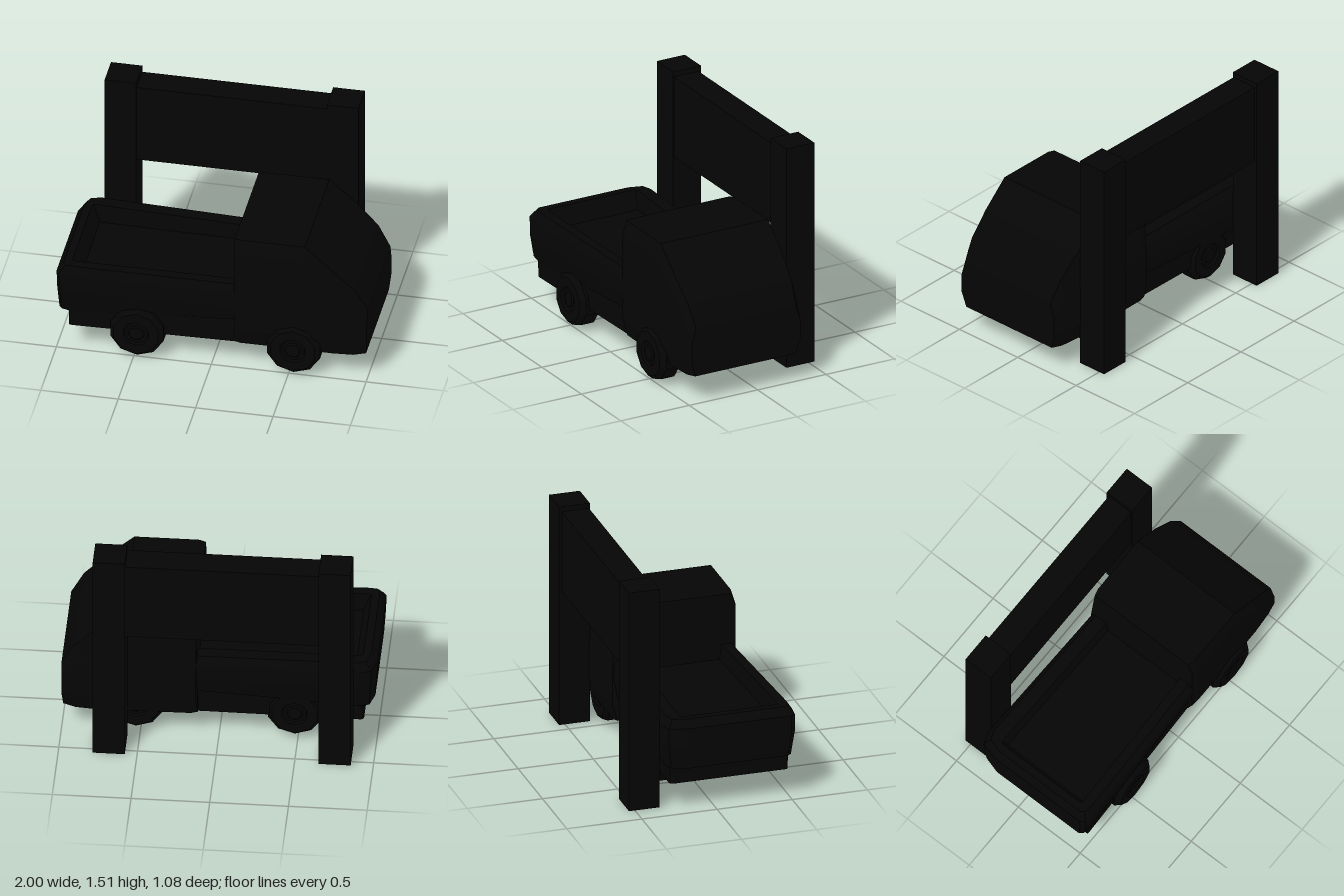
import * as THREE from 'three';

const material = new THREE.MeshStandardMaterial({ color: 0x050505, flatShading: true });

function add(group, name, geometry, x = 0, y = 0, z = 0) {
  const mesh = new THREE.Mesh(geometry, material);
  mesh.name = name;
  mesh.position.set(x, y, z);
  group.add(mesh);
  return mesh;
}

// Skins a list of equal-length rings and closes both ends
function loft(rings) {
  const n = rings[0].length;
  const index = [];
  const last = (rings.length - 1) * n;
  for (let r = 0; r < rings.length - 1; r++) {
    for (let i = 0; i < n; i++) {
      const a = r * n + i, b = r * n + (i + 1) % n;
      index.push(a, b, b + n, a, b + n, a + n);
    }
  }
  for (let i = 1; i < n - 1; i++) {
    index.push(0, i + 1, i, last, last + i, last + i + 1);
  }
  const g = new THREE.BufferGeometry();
  g.setAttribute('position', new THREE.Float32BufferAttribute(rings.flat(2), 3));
  g.setIndex(index);
  const flat = g.toNonIndexed();
  flat.computeVertexNormals();
  return flat;
}

// Cab section across the truck at one x
function cabRing([x, bottom, top, z0, z1]) {
  const low = 0.29;
  const shoulder = top - 0.1;
  const waist = Math.min(0.53, shoulder);
  return [
    [x - 0.01, bottom, z0 + 0.03], [x, low, z0], [x, waist, z0], [x, top, z0 + 0.033],
    [x, top, z1 - 0.03], [x, shoulder, z1], [x, low, z1], [x - 0.01, bottom, z1 - 0.03],
  ];
}

// Bed outline at one height: rear corners cut, narrowing and shifting height toward the cab
function bedRing([y, x0, z0, z1, cut, rise]) {
  const x1 = 0.17;
  const at = (x, z) => {
    const t = (x + 1) / 1.17;
    return [x, y + rise * t, z + (z > 0 ? -0.04 : 0.02) * t];
  };
  return [
    at(x0 + cut, z1), at(x1, z1), at(x1, z0), at(x0 + cut, z0),
    at(x0 + cut * 0.3, z0 + cut * 0.25), at(x0, z0 + cut * 1.3),
    at(x0, z1 - cut * 0.4), at(x0 + cut * 0.2, z1 - cut * 0.12),
  ];
}

// Chunky ten-sided wheel with a recessed rim and raised hub
function wheel(name, x, y, z, side) {
  const profile = [
    [0, -0.08], [0.15, -0.08], [0.18, -0.05], [0.18, 0.045], [0.15, 0.08],
    [0.085, 0.08], [0.075, 0.065], [0.055, 0.065], [0.045, 0.075], [0, 0.075],
  ].map(([r, h]) => new THREE.Vector2(r, h));
  const group = new THREE.Group();
  group.name = name;
  const tire = add(group, 'tire', new THREE.LatheGeometry(profile, 10));
  tire.rotation.x = side * Math.PI / 2;
  group.position.set(x, y, z);
  return group;
}

export function createModel() {
  const model = new THREE.Group();
  model.name = 'truckAndSign';

  // Sign frame standing behind the truck
  const sign = new THREE.Group();
  sign.name = 'sign';
  for (const [name, x] of [['rightPost', -0.755], ['leftPost', 0.68]]) {
    add(sign, name, new THREE.BoxGeometry(0.204, 1.506, 0.204), x, 0.753, -0.438);
  }
  add(sign, 'board', new THREE.BoxGeometry(1.25, 0.55, 0.18), -0.035, 1.196, -0.432);
  model.add(sign);

  const truck = new THREE.Group();
  truck.name = 'truck';

  // Cab: x, bottom, top, back z, front z
  add(truck, 'cab', loft([
    [0.145, 0.18, 0.955, -0.325, 0.495],
    [0.19, 0.175, 0.96, -0.335, 0.507],
    [0.6, 0.175, 0.96, -0.34, 0.507],
    [0.78, 0.172, 0.8, -0.34, 0.505],
    [0.92, 0.172, 0.66, -0.328, 0.495],
    [1.0, 0.185, 0.52, -0.312, 0.48],
  ].map(cabRing)));

  // Cargo bed, from the chassis up over the rim and down to the floor:
  // y, rear x, back z, front z, corner cut, rise toward cab
  add(truck, 'cargoBed', loft([
    [0.18, -0.92, -0.29, 0.5, 0.02, -0.01],
    [0.285, -0.92, -0.295, 0.505, 0.02, 0.06],
    [0.3, -0.985, -0.315, 0.515, 0.1, 0.05],
    [0.46, -0.995, -0.337, 0.54, 0.11, 0],
    [0.58, -1.0, -0.335, 0.538, 0.11, -0.02],
    [0.632, -0.96, -0.3, 0.505, 0.09, -0.022],
    [0.632, -0.91, -0.215, 0.44, 0.02, -0.022],
    [0.51, -0.86, -0.2, 0.425, 0.01, 0],
  ].map(bedRing)));

  // Wheels
  truck.add(wheel('rearRightWheel', -0.48, 0.19, 0.455, 1));
  truck.add(wheel('frontRightWheel', 0.53, 0.19, 0.45, 1));
  truck.add(wheel('rearLeftWheel', -0.48, 0.205, -0.222, -1));
  truck.add(wheel('frontLeftWheel', 0.53, 0.205, -0.222, -1));
  model.add(truck);

  return model;
}
